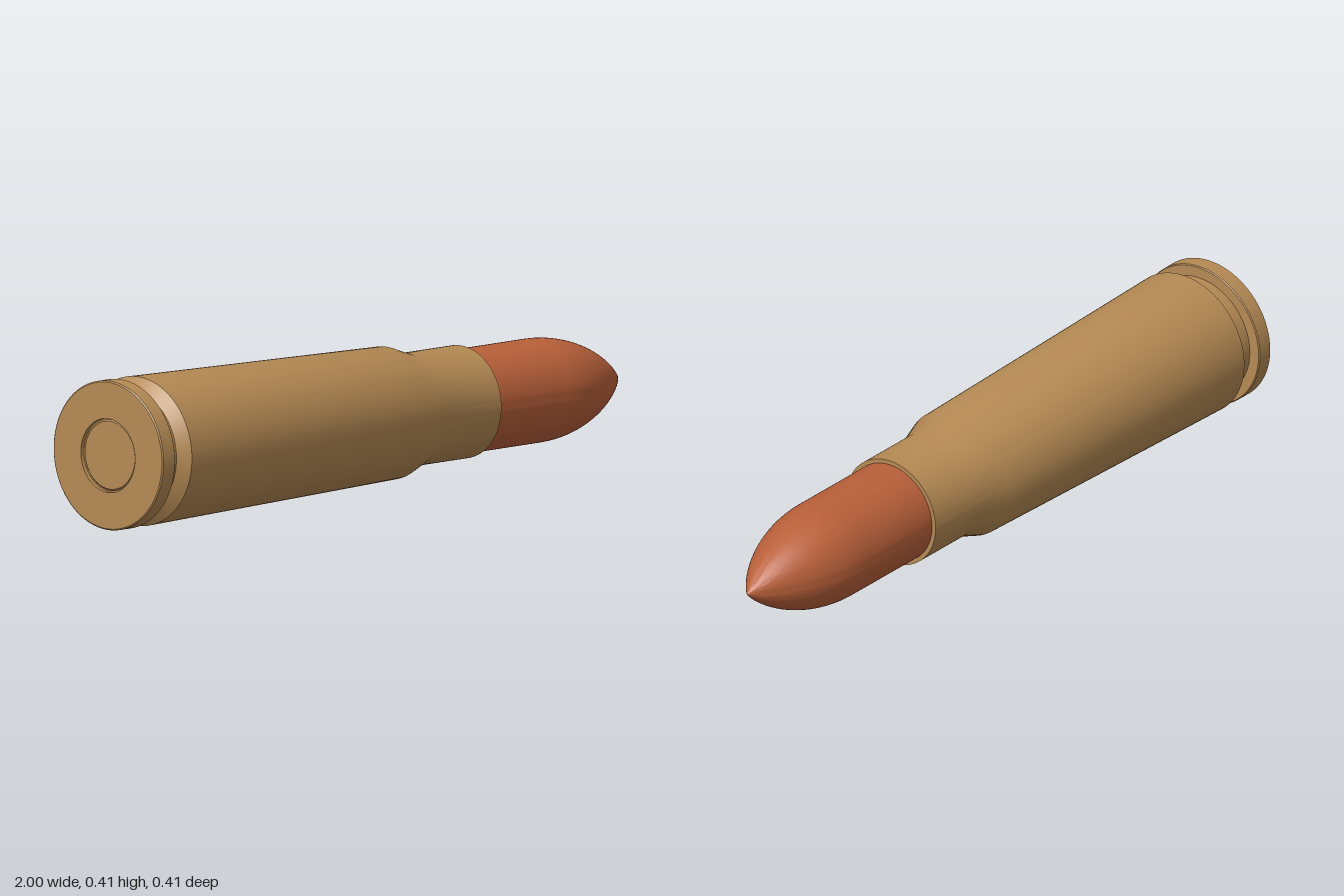
import * as THREE from 'three';
import { toCreasedNormals } from 'three/addons/utils/BufferGeometryUtils.js';

const SEGMENTS = 96;
const AXIS_Y = 0.2025;

// Turned part along x: profile is a list of [x, radius], from back to tip
function turned(name, profile, material) {
  const points = profile.map(([x, r]) => new THREE.Vector2(r, x));
  const geometry = toCreasedNormals(new THREE.LatheGeometry(points, SEGMENTS), 0.35);
  geometry.rotateZ(-Math.PI / 2);
  const mesh = new THREE.Mesh(geometry, material);
  mesh.name = name;
  mesh.position.y = AXIS_Y;
  return mesh;
}

export function createModel() {
  const brass = new THREE.MeshStandardMaterial({ color: 0xb58a54 });
  const copper = new THREE.MeshStandardMaterial({ color: 0xb9603a });
  const group = new THREE.Group();
  group.name = 'cartridge';

  // Case: base with primer pocket, rim, extractor groove, tapered body, shoulder, neck and lip
  group.add(turned('case', [
    [-0.988, 0.1], [-1, 0.1], [-1, 0.199], [-0.997, 0.2025],
    [-0.953, 0.2025], [-0.95, 0.2], [-0.95, 0.17],
    [-0.912, 0.17], [-0.886, 0.2025],
    [0.09, 0.18], [0.17, 0.153], [0.38, 0.153], [0.38, 0.14],
  ], brass));

  // Primer: shallow disc set into the base
  group.add(turned('primer', [
    [-0.992, 0], [-0.992, 0.092], [-0.988, 0.096], [-0.988, 0.1],
  ], brass));

  // Bullet: straight shank, then a circular-arc nose tangent to it
  const radius = 0.141, noseStart = 0.66, noseLength = 0.34;
  const arc = (radius ** 2 + noseLength ** 2) / (2 * radius);
  const bullet = [[0.36, radius]];
  for (let i = 0; i <= 24; i++) {
    const d = noseLength * i / 24;
    const r = Math.sqrt(arc * arc - d * d) - arc + radius;
    bullet.push([noseStart + d, i === 24 ? 0 : r]);
  }
  group.add(turned('bullet', bullet, copper));

  return group;
}
